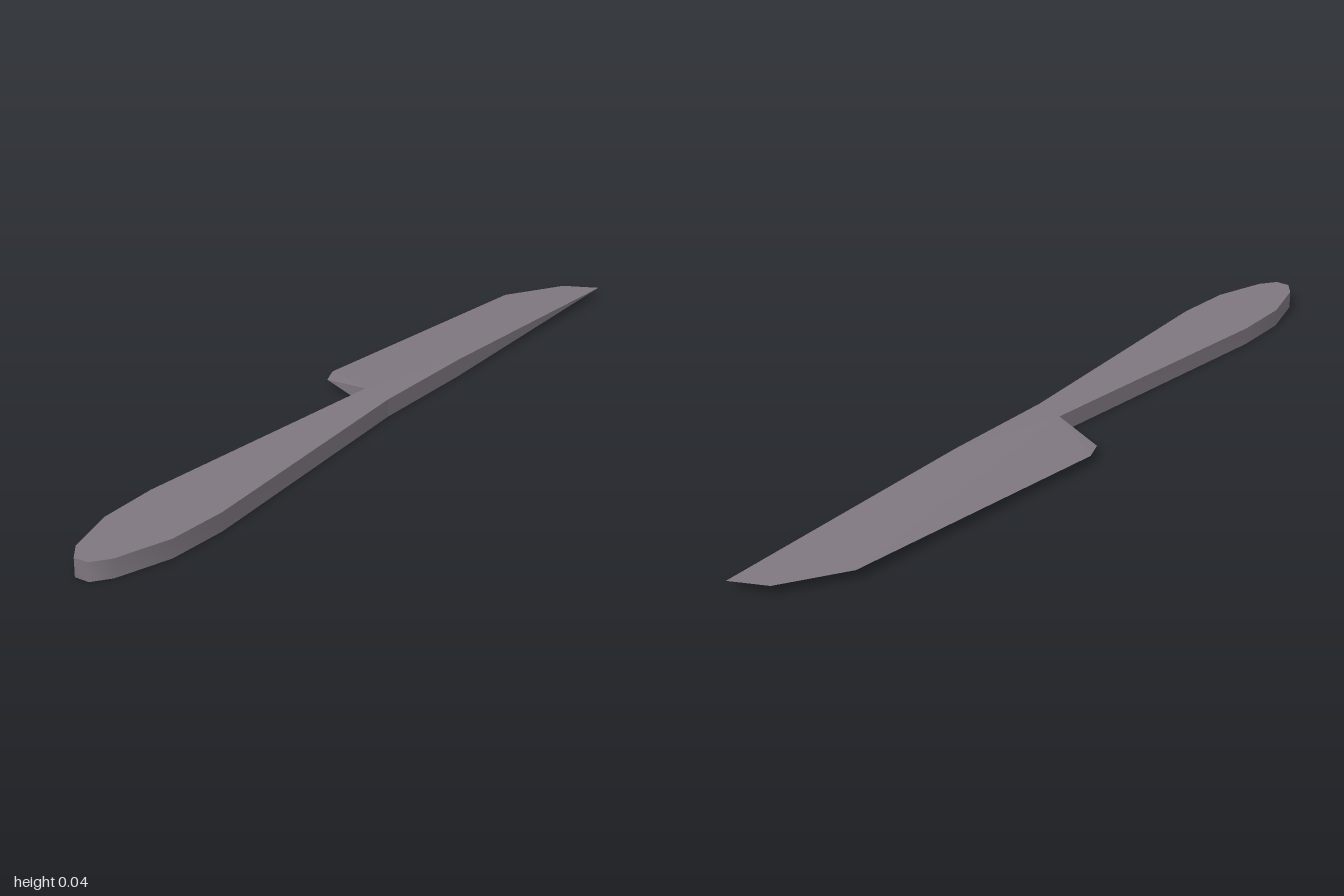
import * as THREE from 'three';
import { toCreasedNormals } from 'three/addons/utils/BufferGeometryUtils.js';

const THICKNESS = 0.043;
const MID = THICKNESS / 2;

// Flat handle with a rounded butt, extruded from its plan outline
function handleGeometry() {
  const outline = [
    [0.01, -0.025], [-0.042, 0.68], [-0.036, 0.83], [0.003, 0.96], [0.034, 1],
    [0.07, 1], [0.1, 0.96], [0.139, 0.83], [0.145, 0.68], [0.09, 0],
  ];
  const shape = new THREE.Shape(outline.map(([x, z]) => new THREE.Vector2(x, -z)));
  const geometry = new THREE.ExtrudeGeometry(shape, { depth: THICKNESS, bevelEnabled: false });
  geometry.rotateX(-Math.PI / 2);
  return toCreasedNormals(geometry, 1);
}

// Wedge blade: thick along the spine, thinning to nothing at the edge and tip
function bladeGeometry() {
  // x, z, half thickness, counter-clockwise from above
  const plan = [
    [0.09, 0, MID], [0.09, -0.3, MID], // spine
    [0.09, -1, 0], // tip
    [0.005, -0.96, 0], [-0.085, -0.81, 0], [-0.145, -0.11, 0], [-0.125, -0.06, 0], // cutting edge
    [0.01, -0.025, MID], // heel at the handle
  ];
  const faces = [[0, 1, 7], [1, 4, 7], [1, 3, 4], [1, 2, 3], [7, 4, 5], [7, 5, 6]];
  const positions = [];
  const add = (i, side) => {
    const [x, z, half] = plan[i];
    positions.push(x, MID + side * half, z);
  };
  for (const [a, b, c] of faces) {
    add(a, 1); add(b, 1); add(c, 1);
    add(a, -1); add(c, -1); add(b, -1);
  }
  // Spine walls and heel wall
  for (const [i, j] of [[0, 1], [1, 2], [6, 7]]) {
    if (plan[j][2] > 0) { add(i, -1); add(j, -1); add(j, 1); }
    if (plan[i][2] > 0) { add(i, -1); add(j, 1); add(i, 1); }
  }
  const geometry = new THREE.BufferGeometry();
  geometry.setAttribute('position', new THREE.Float32BufferAttribute(positions, 3));
  geometry.computeVertexNormals();
  return geometry;
}

export function createModel() {
  const steel = new THREE.MeshStandardMaterial({ color: 0x7f7780 });
  steel.name = 'steel';

  const group = new THREE.Group();
  group.name = 'knife';
  const handle = new THREE.Mesh(handleGeometry(), steel);
  handle.name = 'handle';
  const blade = new THREE.Mesh(bladeGeometry(), steel);
  blade.name = 'blade';
  group.add(handle, blade);
  return group;
}
